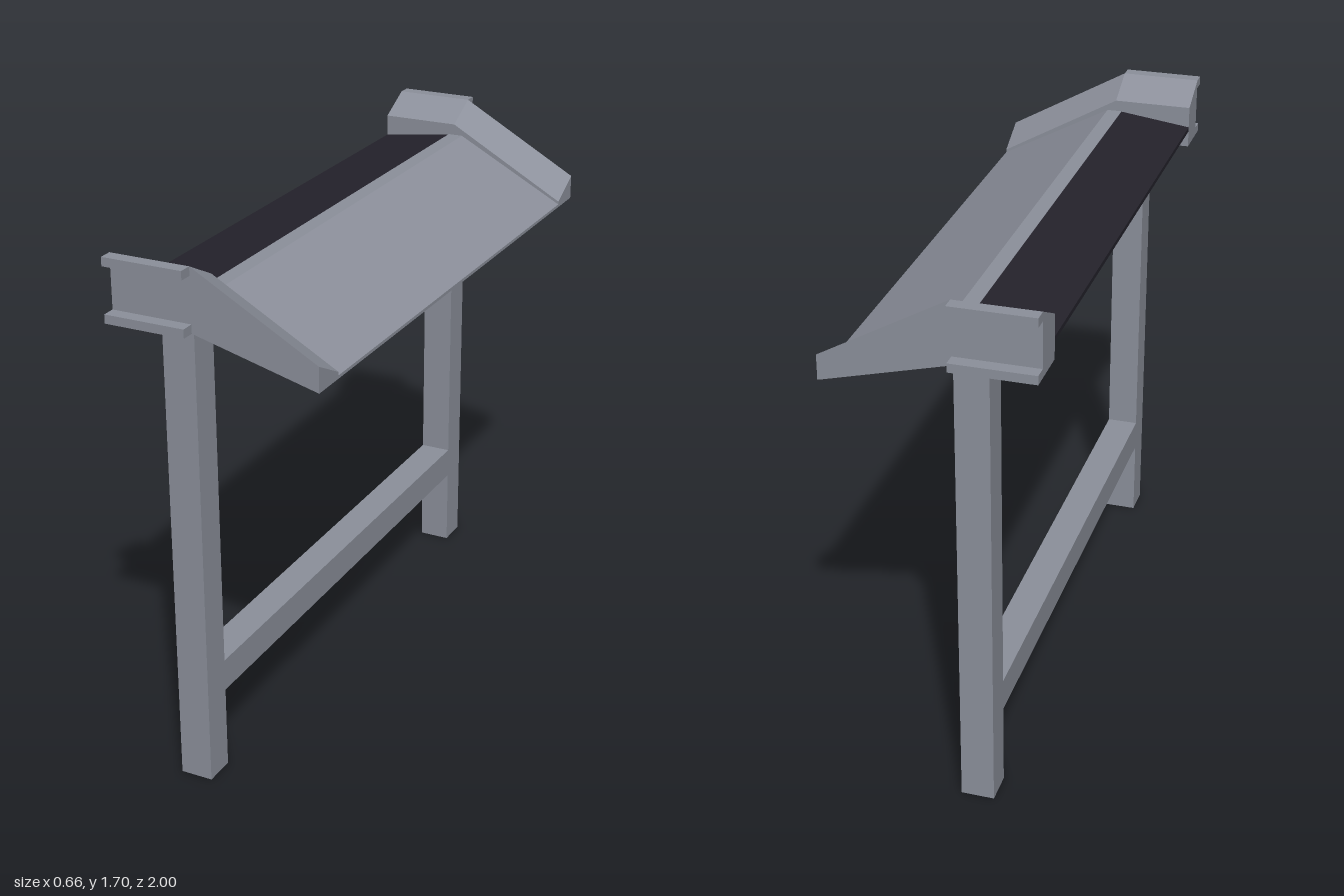
import * as THREE from 'three';

export function createModel() {
  const group = new THREE.Group();
  const grey = new THREE.MeshStandardMaterial({ color: 0x8c909b, flatShading: true });
  const dark = new THREE.MeshStandardMaterial({ color: 0x24222b, flatShading: true });

  const add = (name, geometry, material = grey) => {
    const mesh = new THREE.Mesh(geometry, material);
    mesh.name = name;
    group.add(mesh);
  };
  // Box given by its limits on each axis
  const box = (name, x0, x1, y0, y1, z0, z1) => {
    const g = new THREE.BoxGeometry(x1 - x0, y1 - y0, z1 - z0);
    add(name, g.translate((x0 + x1) / 2, (y0 + y1) / 2, (z0 + z1) / 2));
  };
  // Side profile (x, y) extruded between two z values
  const profile = (points, z0, z1) => {
    const shape = new THREE.Shape(points.map(([x, y]) => new THREE.Vector2(x, y)));
    return new THREE.ExtrudeGeometry(shape, { depth: z1 - z0, bevelEnabled: false }).translate(0, 0, z0);
  };

  const capProfile = [[-0.33, 1.5], [-0.07, 1.5], [0.33, 1.395], [0.33, 1.475], [-0.07, 1.7], [-0.33, 1.7]];

  for (const side of [1, -1]) {
    const span = (a, b) => (side > 0 ? [a, b] : [-b, -a]);
    const end = side > 0 ? 'front' : 'back';

    box(end + 'Leg', -0.175, -0.07, 0, 1.5, ...span(0.842, 0.945));

    // End cap whose top slopes down towards the middle
    const cap = profile(capProfile, ...span(0.84, 0.957));
    const p = cap.attributes.position;
    for (let i = 0; i < p.count; i++) {
      const isTop = p.getY(i) > 1.51 - 0.15 * Math.max(0, p.getX(i));
      if (isTop && Math.abs(p.getZ(i)) < 0.9) p.setY(i, p.getY(i) - 0.06);
    }
    cap.computeVertexNormals();
    add(end + 'EndCap', cap);

    // Two flanges on the outer face
    box(end + 'UpperFlange', -0.33, -0.07, 1.672, 1.7, ...span(0.957, 1));
    box(end + 'LowerFlange', -0.33, -0.07, 1.5, 1.528, ...span(0.957, 1));
  }

  box('crossBar', -0.175, -0.07, 0.27, 0.375, -0.842, 0.842);

  // Wedge-shaped board with a level top edge, flush with the underside of the caps
  const boardProfile = [[-0.09, 1.5], [-0.07, 1.5], [0.33, 1.395], [0.33, 1.405], [-0.04, 1.603], [-0.09, 1.603]];
  add('slopingBoard', profile(boardProfile, -0.84, 0.84));
  // Dark panel tapering towards the back
  const panelProfile = [[-0.33, 1.555], [-0.09, 1.5], [-0.09, 1.602], [-0.33, 1.57]];
  add('darkPanel', profile(panelProfile, -0.84, 0.84), dark);

  return group;
}
